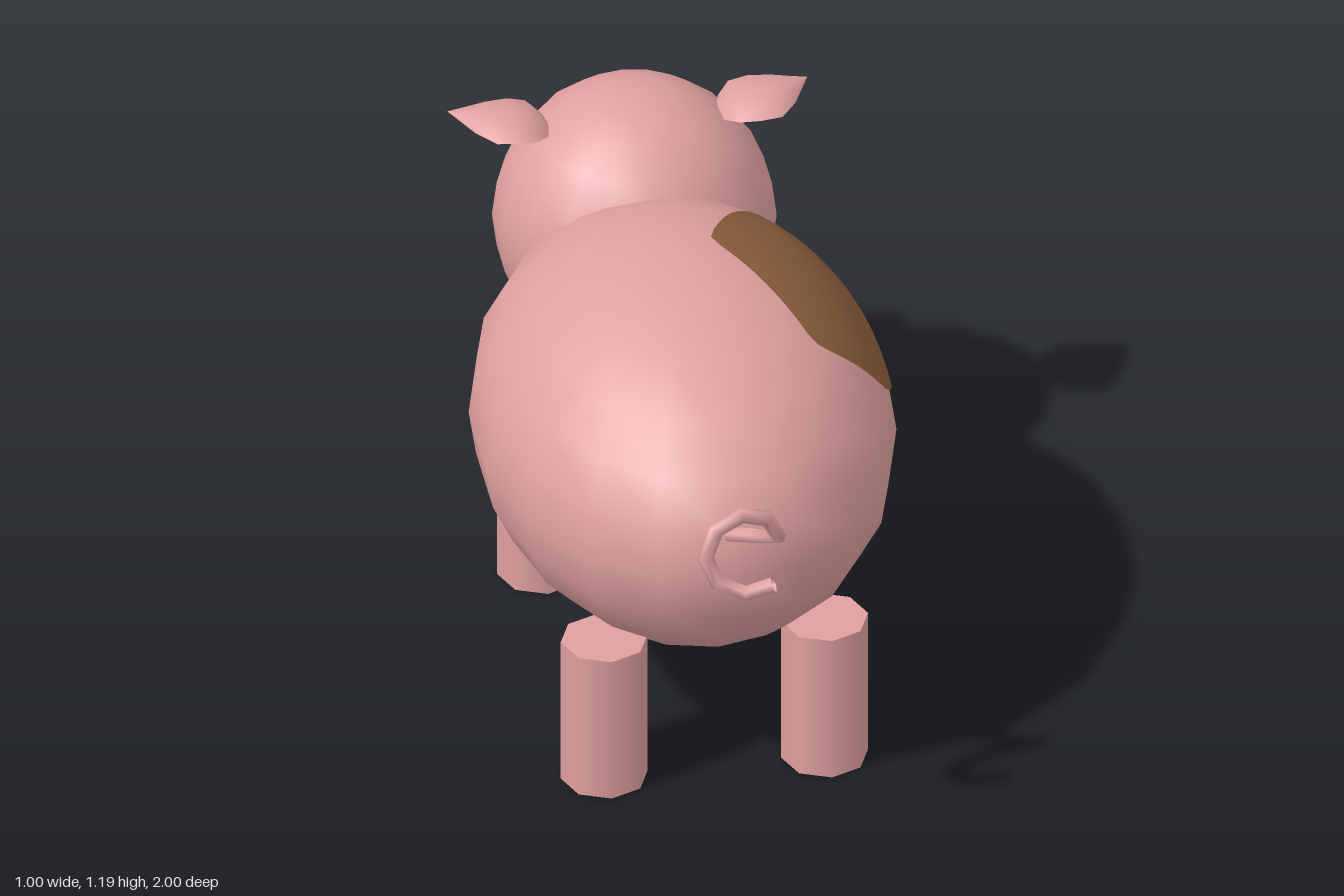
import * as THREE from 'three';

const pink = new THREE.MeshStandardMaterial({ color: 0xe0a0a0, side: THREE.DoubleSide });
pink.name = 'pinkSkin';
const rose = new THREE.MeshStandardMaterial({ color: 0xcd7575 });
rose.name = 'roseSnout';
const brown = new THREE.MeshStandardMaterial({ color: 0x8b5e3c });
brown.name = 'brown';

const BODY_CENTER = new THREE.Vector3(0, 0.69, 0.08);
const BODY_RADII = new THREE.Vector3(0.503, 0.449, 0.71);

function part(name, geometry, material, x = 0, y = 0, z = 0) {
  const mesh = new THREE.Mesh(geometry, material);
  mesh.name = name;
  mesh.position.set(x, y, z);
  return mesh;
}

function meshGeometry(positions, index) {
  const geo = new THREE.BufferGeometry();
  geo.setAttribute('position', new THREE.Float32BufferAttribute(positions, 3));
  geo.setIndex(index);
  geo.computeVertexNormals();
  return geo;
}

// Ellipsoid with a vertex column on the z axis
function ellipsoid(rx, ry, rz) {
  return new THREE.SphereGeometry(1, 18, 12).rotateY(Math.PI / 2).scale(rx, ry, rz);
}

// Thin patch that hugs the body: rings from the middle out to the outline
function patchGeometry() {
  const outline = [
    [0.09, 1.13, -0.04], [0.164, 1.075, -0.206], [0.25, 0.987, -0.317], [0.36, 0.88, -0.312],
    [0.447, 0.766, -0.22], [0.495, 0.734, 0.06], [0.461, 0.836, 0.246], [0.31, 1.01, 0.316],
    [0.27, 1.045, 0.3], [0.16, 1.116, 0.095],
  ].map((p) => new THREE.Vector3(...p).sub(BODY_CENTER).divide(BODY_RADII).normalize());
  const loop = new THREE.CatmullRomCurve3(outline, true, 'catmullrom', 0.25).getSpacedPoints(48);
  const middle = new THREE.Vector3();
  outline.forEach((p) => middle.add(p));
  middle.normalize();
  const rings = 8, n = 48, positions = [], index = [];
  for (let r = 0; r <= rings; r++) {
    for (let i = 0; i < n; i++) {
      const p = middle.clone().lerp(loop[i], r / rings).normalize()
        .multiplyScalar(1.003).multiply(BODY_RADII).add(BODY_CENTER);
      positions.push(p.x, p.y, p.z);
      if (r === rings) continue;
      const a = r * n + i, b = r * n + (i + 1) % n;
      index.push(a, b, a + n, b, b + n, a + n);
    }
  }
  return meshGeometry(positions, index);
}

// Arched leaf: each row is x, z start, z end, crest height
function earGeometry(side) {
  const rows = [
    [0.2, -0.63, -0.59, 1.1], [0.215, -0.67, -0.56, 1.118], [0.245, -0.704, -0.522, 1.142],
    [0.29, -0.702, -0.503, 1.156], [0.344, -0.698, -0.513, 1.153],
    [0.386, -0.695, -0.577, 1.138], [0.434, -0.694, -0.692, 1.115],
  ];
  const steps = 6, positions = [], index = [];
  rows.forEach(([x, z0, z1, y], r) => {
    for (let i = 0; i <= steps; i++) {
      const t = i / steps, width = (z1 - z0) / 0.2;
      positions.push(side * x, y - 0.026 * width * (2 * t - 1) ** 2, z0 + (z1 - z0) * t);
      if (r === rows.length - 1 || i === steps) continue;
      const a = r * (steps + 1) + i, b = a + steps + 1;
      if (side > 0) index.push(a, a + 1, b, a + 1, b + 1, b);
      else index.push(a, b, a + 1, a + 1, b, b + 1);
    }
  });
  return meshGeometry(positions, index);
}

// Corkscrew tail winding away from the rump
function tailGeometry() {
  const points = [new THREE.Vector3(-0.01, 0.83, 0.785)];
  for (let i = 0; i <= 7; i++) {
    const a = (i / 7) * Math.PI * 1.75;
    points.push(new THREE.Vector3(0.092 * Math.cos(a), 0.87 + 0.092 * Math.sin(a), 0.875 + 0.015 * i));
  }
  const path = new THREE.CurvePath();
  for (let i = 1; i < points.length; i++) path.add(new THREE.LineCurve3(points[i - 1], points[i]));
  path.getPointAt = path.getPoint;
  const curve = new THREE.CatmullRomCurve3(points, false, 'catmullrom', 0.2);
  return new THREE.TubeGeometry(curve, 9, 0.02, 6, false);
}

export function createModel() {
  const pig = new THREE.Group();
  pig.name = 'pig';

  pig.add(part('body', ellipsoid(...BODY_RADII.toArray()), pink, ...BODY_CENTER.toArray()));
  pig.add(part('sidePatch', patchGeometry(), brown));

  // Head and snout point towards -z
  pig.add(part('head', ellipsoid(0.339, 0.349, 0.34), pink, 0, 0.836, -0.595));
  pig.add(part('snout', new THREE.CylinderGeometry(0.14, 0.14, 0.2, 8).rotateX(Math.PI / 2), rose, 0, 0.78, -0.9));

  for (const side of [1, -1]) {
    const label = side > 0 ? 'left' : 'right';
    pig.add(part(label + 'Ear', earGeometry(side), pink));
    pig.add(part(label + 'Eye', new THREE.SphereGeometry(0.02, 8, 6), brown, side * 0.156, 0.953, -0.875));
    for (const [end, z] of [['Head', -0.365], ['Tail', 0.525]]) {
      const leg = new THREE.CylinderGeometry(0.105, 0.105, 0.39, 8);
      pig.add(part(label + end + 'EndLeg', leg, pink, side * 0.266, 0.195, z));
    }
  }

  pig.add(part('tail', tailGeometry(), pink));
  return pig;
}
